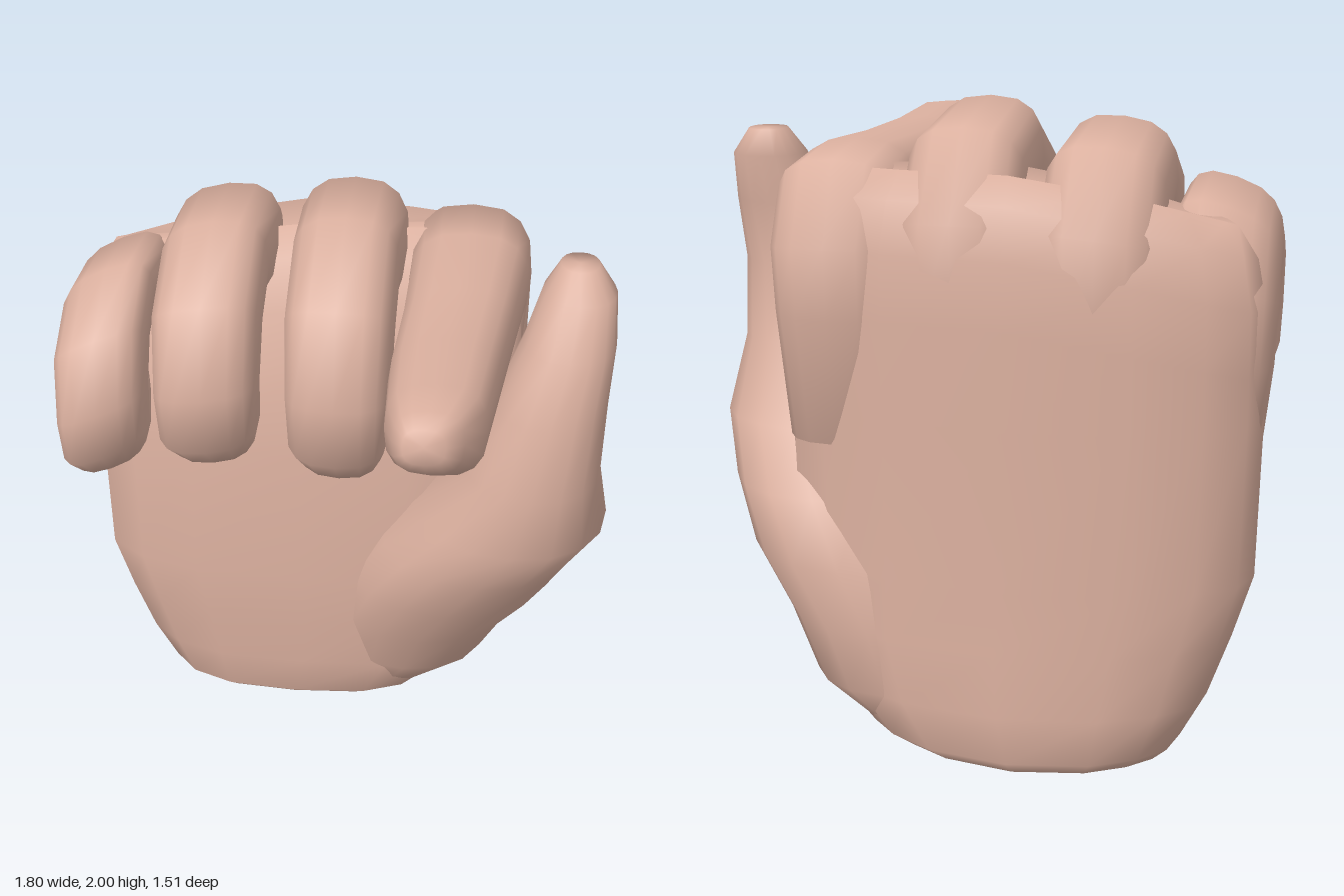
import * as THREE from 'three';

const SIDES = 16;
const skin = new THREE.MeshStandardMaterial({ color: 0xdbb09f, side: THREE.DoubleSide });

// Point on a rounded-square outline, a in radians
function outline(a, power) {
  const f = (v) => Math.sign(v) * Math.pow(Math.abs(v), 2 / power);
  return [f(Math.cos(a)), f(Math.sin(a))];
}

// Skin a list of point rings and close both ends
function loft(name, rings) {
  const pos = [], index = [], n = SIDES;
  rings.forEach((r) => r.forEach((p) => pos.push(p.x, p.y, p.z)));
  for (let i = 0; i < rings.length - 1; i++) {
    for (let j = 0; j < n; j++) {
      const a = i * n + j, b = i * n + (j + 1) % n;
      index.push(a, b, b + n, a, b + n, a + n);
    }
  }
  [0, rings.length - 1].forEach((i) => {
    const c = new THREE.Vector3();
    rings[i].forEach((p) => c.addScaledVector(p, 1 / n));
    const k = pos.length / 3;
    pos.push(c.x, c.y, c.z);
    for (let j = 0; j < n; j++) {
      const a = i * n + j, b = i * n + (j + 1) % n;
      if (i === 0) index.push(k, b, a);
      else index.push(k, a, b);
    }
  });
  const g = new THREE.BufferGeometry();
  g.setAttribute('position', new THREE.Float32BufferAttribute(pos, 3));
  g.setIndex(index);
  g.computeVertexNormals();
  const mesh = new THREE.Mesh(g, skin);
  mesh.name = name;
  return mesh;
}

// Horizontal slices: [y, xMin, xMax, zBack, zFront]; bow curves the back, lean lowers the little-finger side
function stacked(name, slices, power, bow = 0, lean = 0) {
  return loft(name, slices.map(([y, x0, x1, z0, z1]) =>
    Array.from({ length: SIDES }, (_, j) => {
      const [u, v] = outline((j / SIDES) * Math.PI * 2, power);
      const x = (x0 + x1) / 2 + u * (x1 - x0) / 2;
      const z = (z0 + z1) / 2 - v * (z1 - z0) / 2 + bow * u * u * Math.max(0, v);
      const drop = y > 1.2 ? lean * Math.max(0, -x - 0.25) : 0;
      return new THREE.Vector3(x, y - drop, z);
    })));
}

// Sections along a bent path: [x, y, z, halfWidth, halfThickness]; roll and yaw skew them sideways
function finger(name, path, roll = 0, yaw = 0) {
  const side = new THREE.Vector3(1, 0, 0);
  return loft(name, path.map(([x, y, z, w, t], i) => {
    const a = path[Math.max(i - 1, 0)], b = path[Math.min(i + 1, path.length - 1)];
    const up = new THREE.Vector3(0, b[1] - a[1], b[2] - a[2]).normalize().cross(side);
    return Array.from({ length: SIDES }, (_, j) => {
      const [u, v] = outline((j / SIDES) * Math.PI * 2, 2.7);
      return new THREE.Vector3(x + u * w, y + u * w * roll, z - u * w * yaw).addScaledVector(up, v * t);
    });
  }));
}

// Shared curl of the folded fingers: [y, z, halfWidth, halfThickness]
const CURL = [
  [1.05, -0.5, 0.14, 0.12],
  [1.42, -0.52, 0.175, 0.185],
  [1.66, -0.53, 0.185, 0.185],
  [1.77, -0.45, 0.18, 0.2],
  [1.82, -0.18, 0.17, 0.18],
  [1.73, 0.0, 0.17, 0.175],
  [1.52, 0.07, 0.165, 0.15],
  [1.36, 0.05, 0.16, 0.14],
  [1.28, -0.03, 0.14, 0.135],
  [1.27, -0.14, 0.13, 0.12],
  [1.35, -0.21, 0.12, 0.11],
  [1.5, -0.22, 0.11, 0.1],
];

export function createModel() {
  const hand = new THREE.Group();
  hand.name = 'pointingHand';

  // Palm and wrist, with a crisp flat base
  const base = [0, -0.6, 0.27, -0.7, -0.18];
  hand.add(stacked('palm', [
    base, base,
    [0.05, -0.65, 0.34, -0.75, -0.13],
    [0.2, -0.73, 0.48, -0.75, -0.12],
    [0.4, -0.8, 0.57, -0.74, -0.11],
    [0.6, -0.86, 0.59, -0.73, -0.11],
    [1.1, -0.87, 0.6, -0.72, -0.14],
    [1.4, -0.87, 0.6, -0.72, -0.2],
    [1.6, -0.87, 0.6, -0.71, -0.27],
    [1.75, -0.84, 0.57, -0.67, -0.34],
    [1.83, -0.78, 0.52, -0.6, -0.42],
  ], 2.8, 0.1, 0.25));

  // Thumb with its fleshy base spreading into the palm
  hand.add(stacked('thumb', [
    [0.05, 0.0, 0.33, -0.62, -0.2],
    [0.2, -0.05, 0.53, -0.68, -0.12],
    [0.4, -0.04, 0.62, -0.69, -0.04],
    [0.6, 0.02, 0.75, -0.68, 0.05],
    [0.8, 0.14, 0.83, -0.61, 0.13],
    [0.97, 0.28, 0.9, -0.43, 0.17],
    [1.2, 0.42, 0.86, -0.29, 0.17],
    [1.45, 0.5, 0.86, -0.22, 0.13],
    [1.65, 0.58, 0.87, -0.23, 0.06],
    [1.8, 0.63, 0.86, -0.25, -0.03],
    [1.88, 0.68, 0.8, -0.23, -0.1],
  ], 2.2));

  // Extended index finger
  hand.add(finger('indexFinger', [
    [0.4, 1.0, -0.48, 0.17, 0.14],
    [0.4, 1.4, -0.5, 0.195, 0.18],
    [0.4, 1.58, -0.51, 0.2, 0.185],
    [0.4, 1.67, -0.46, 0.2, 0.21],
    [0.4, 1.7, -0.3, 0.19, 0.18],
    [0.38, 1.705, 0, 0.175, 0.16],
    [0.355, 1.715, 0.3, 0.165, 0.152],
    [0.345, 1.745, 0.58, 0.145, 0.14],
    [0.33, 1.785, 0.7, 0.1, 0.09],
    [0.32, 1.80, 0.745, 0.06, 0.05],
  ]));

  // Folded fingers: name, x, width, height and depth scale, bottom y, z shift, roll, yaw
  [
    ['middleFinger', 0.02, 1, 1, 1, 1.15, 0.01, 0, 0],
    ['ringFinger', -0.395, 1, 0.93, 0.95, 1.16, -0.02, 0.1, 0.08],
    ['littleFinger', -0.74, 0.86, 0.8, 0.76, 1.1, -0.03, 0.35, 0.2],
  ].forEach(([name, x, w, h, d, y0, dz, roll, yaw]) => {
    hand.add(finger(name, CURL.map(([y, z, hw, ht]) =>
      [x, y0 + (y - 1.15) * h, z * d + dz, hw * w, ht * (h + d) / 2]), roll, yaw));
  });

  return hand;
}
